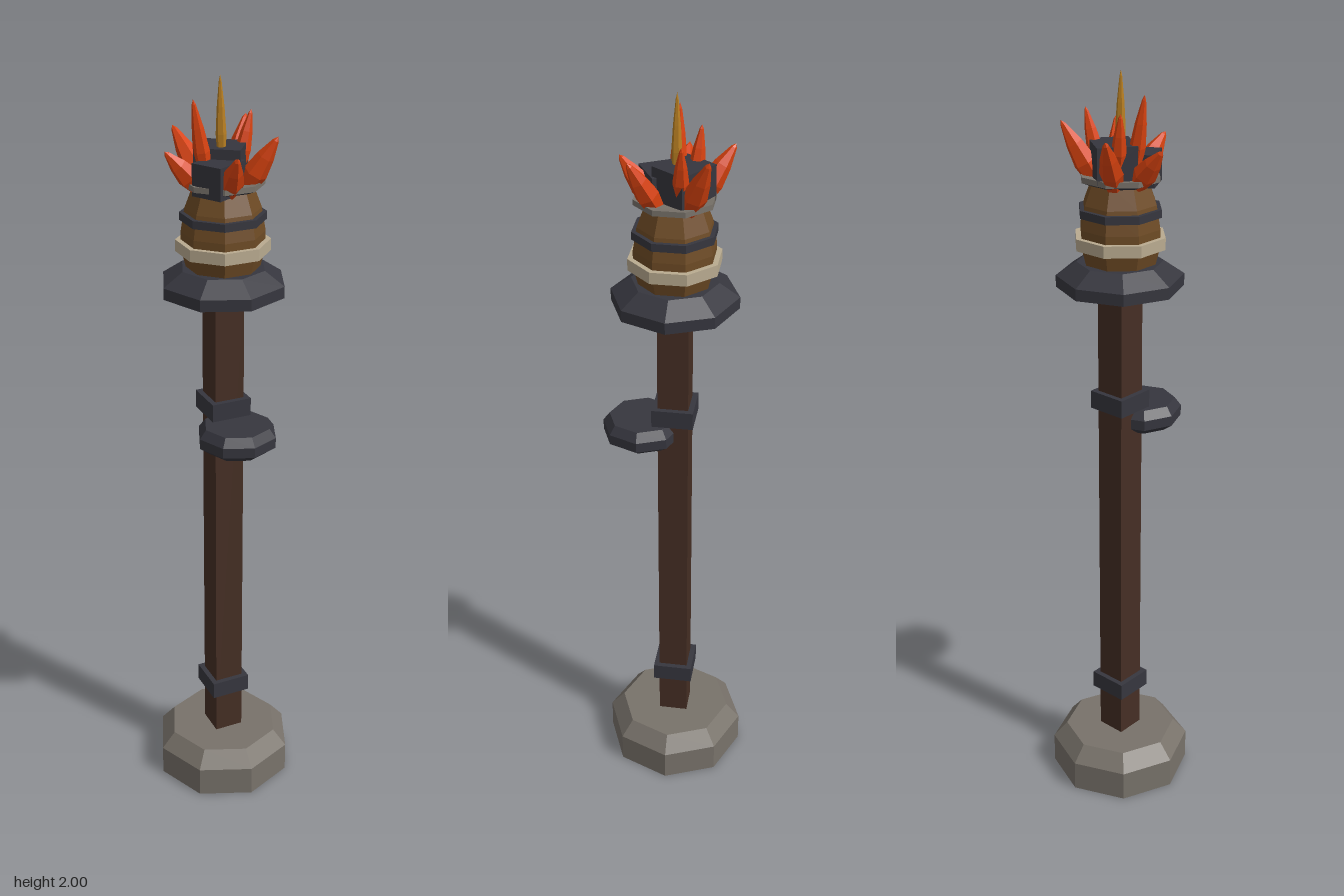
import * as THREE from 'three';

const mat = (name, color, side = THREE.FrontSide) => {
  const m = new THREE.MeshStandardMaterial({ color, flatShading: true, side });
  m.name = name;
  return m;
};

export function createModel() {
  const stone = mat('stone', 0x78726a);
  const timber = mat('dark timber', 0x452e24);
  const iron = mat('dark iron', 0x36363e);
  const wood = mat('barrel wood', 0x6e4b25);
  const rope = mat('pale rope', 0xb9ab90);
  const flame = mat('flame orange', 0xd8420f);
  const gold = mat('flame gold', 0xb87f22);

  const model = new THREE.Group();
  model.name = 'torchPost';
  const add = (name, geometry, material, x = 0, y = 0, z = 0) => {
    const mesh = new THREE.Mesh(geometry, material);
    mesh.name = name;
    mesh.position.set(x, y, z);
    model.add(mesh);
    return mesh;
  };
  // Turned solid from [radius, y] pairs, listed from bottom to top
  const turned = (pairs, sides = 8) =>
    new THREE.LatheGeometry(pairs.map(([r, y]) => new THREE.Vector2(r, y)), sides);
  const halfStep = Math.PI / 8;

  // Footing and post
  add('stoneBase', turned([[0, 0], [0.193, 0], [0.193, 0.085], [0.155, 0.13], [0, 0.13]]), stone);
  add('post', new THREE.BoxGeometry(0.08, 1.36, 0.08), timber, 0, 0.8, 0);
  for (const [name, y] of [['lowerCollar', 0.28], ['upperCollar', 1.155]])
    add(name, new THREE.BoxGeometry(0.108, 0.048, 0.108), iron, 0, y, 0);

  // Small round shelf on the front of the post
  add('shelf', turned([[0, -0.035], [0.078, -0.035], [0.105, -0.015], [0.105, 0.012], [0.088, 0.035], [0, 0.035]]),
    iron, 0, 1.095, 0.086);

  // Plate under the barrel
  add('plate', turned([[0, 1.465], [0.162, 1.465], [0.162, 1.495], [0.11, 1.53], [0, 1.53]]), iron);

  // Barrel and its hoops
  const drum = [
    ['barrel', [[0, 1.525], [0.092, 1.525], [0.105, 1.575], [0.105, 1.62], [0.095, 1.68], [0.072, 1.74], [0, 1.74]], wood],
    ['ropeHoop', [[0, 1.57], [0.119, 1.57], [0.119, 1.6], [0, 1.6]], rope],
    ['ironHoop', [[0, 1.65], [0.108, 1.65], [0.108, 1.67], [0, 1.67]], iron],
    ['rimUnderside', [[0, 1.728], [0.078, 1.728], [0.103, 1.738], [0, 1.738]], iron],
    ['rim', [[0, 1.738], [0.103, 1.738], [0.103, 1.752], [0.075, 1.748], [0, 1.745]], stone],
  ];
  for (const [name, pairs, material] of drum)
    add(name, turned(pairs), material).rotation.y = halfStep;

  // Coals
  const coals = [
    [0.004, 1.785, -0.022, 0.115, 0.09, 0.1, -0.63],
    [-0.028, 1.765, 0.035, 0.1, 0.08, 0.085, 0.5],
  ];
  for (const [x, y, z, w, h, d, turn] of coals)
    add('coal', new THREE.BoxGeometry(w, h, d), iron, x, y, z).rotation.y = turn;

  // Flame tongue: a pointed spindle between two points
  const up = new THREE.Vector3(0, 1, 0);
  const tongue = (name, base, tip, r, material) => {
    const a = new THREE.Vector3(...base);
    const dir = new THREE.Vector3(...tip).sub(a);
    const l = dir.length();
    const shape = turned([[0, 0], [r * 0.75, 0], [r, l * 0.3], [r * 0.72, l * 0.62], [r * 0.25, l * 0.93], [0, l]], 6);
    add(name, shape, material, ...base).quaternion.setFromUnitVectors(up, dir.normalize());
  };

  // Outer ring of tongues
  const outer = [
    [-0.146, 1.83, -0.014], [-0.075, 1.86, -0.135], [0.106, 1.88, -0.095],
    [0.099, 1.865, 0.096], [-0.026, 1.835, 0.138],
  ];
  for (const [x, y, z] of outer)
    tongue('outerFlame', [x * 0.42, 1.735, z * 0.42], [x, y, z], 0.03, flame);

  // Inner tongues and the central spike
  const inner = [[-0.078, 1.95, 0], [0.088, 1.905, -0.028], [-0.052, 1.91, -0.056]];
  for (const [x, y, z] of inner)
    tongue('innerFlame', [x * 0.6, 1.77, z * 0.75], [x, y, z], 0.02, flame);
  tongue('centralFlame', [-0.003, 1.8, -0.003], [-0.006, 2, -0.004], 0.013, gold);

  return model;
}
